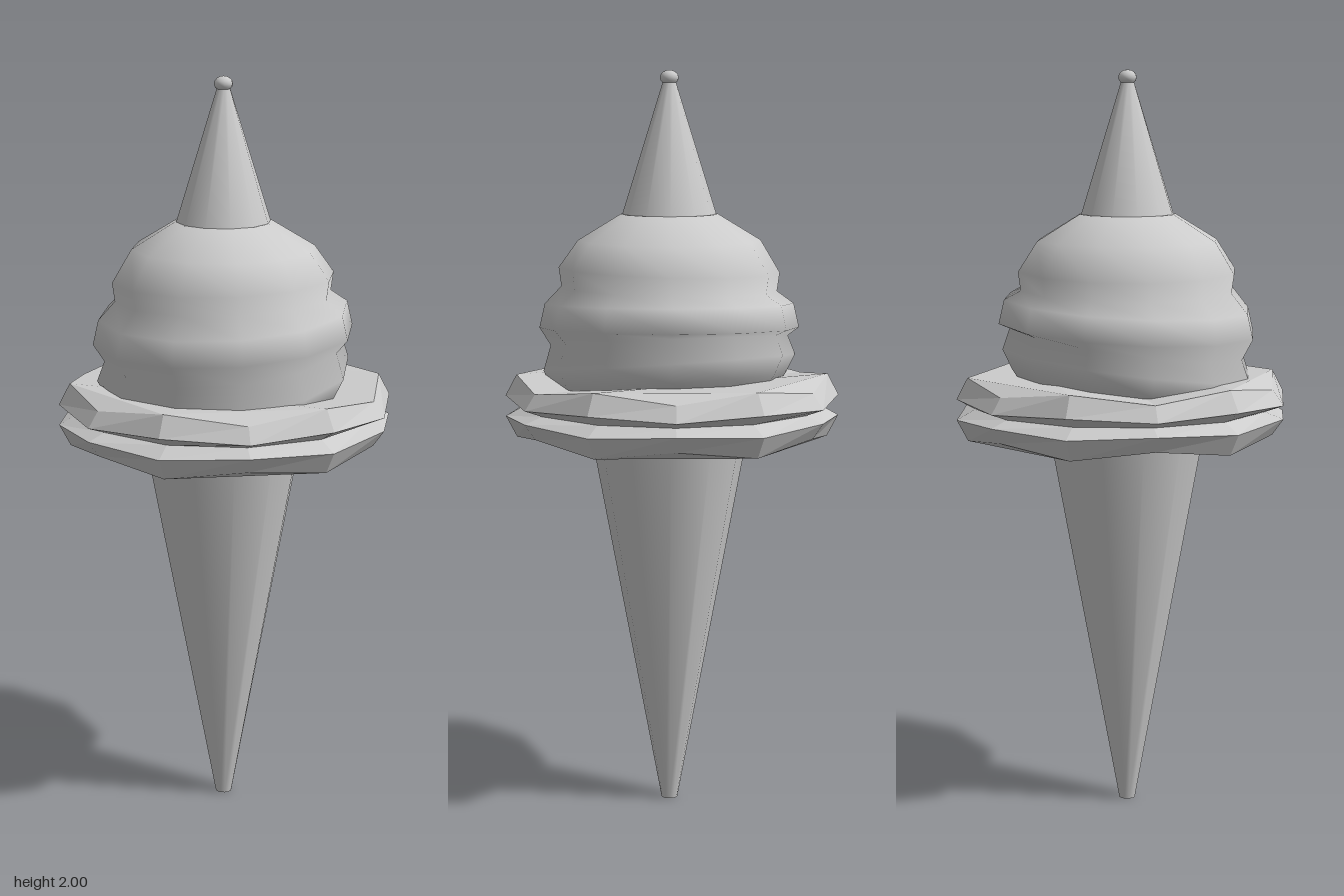
import * as THREE from 'three';

const SIDES = 12;
const OFFSET = 0.015; // cone and scoop sit slightly forward of the brim

function material(flatShading = false) {
  return new THREE.MeshStandardMaterial({ color: 0xcccccc, flatShading });
}

function addPart(group, name, geometry, y = 0, z = OFFSET, flat = false) {
  const mesh = new THREE.Mesh(geometry, material(flat));
  mesh.name = name;
  mesh.position.set(0, y, z);
  group.add(mesh);
  return mesh;
}

// Wavy twelve-sided brim: rings of alternating height with a notch round the edge
function brimGeometry() {
  const mid = 1.105;
  // radius, height above the middle at even corners, and at odd corners
  const rings = [
    [0.42, -0.085, -0.06],
    [0.45, -0.028, -0.018],
    [0.4, 0, 0],
    [0.45, 0.028, 0.018],
    [0.42, 0.085, 0.06],
  ];
  const positions = [];
  const index = [];
  for (const [r, even, odd] of rings) {
    for (let k = 0; k < SIDES; k++) {
      const a = (k / SIDES) * Math.PI * 2;
      positions.push(r * Math.sin(a), mid + (k % 2 ? odd : even), r * Math.cos(a));
    }
  }
  for (let j = 0; j < rings.length - 1; j++) {
    for (let k = 0; k < SIDES; k++) {
      const a = j * SIDES + k;
      const b = j * SIDES + ((k + 1) % SIDES);
      index.push(a, b, b + SIDES, a, b + SIDES, a + SIDES);
    }
  }
  // Folded caps, the same on top and underneath
  const cap = [
    [0, 1, 2], [0, 2, 10], [0, 10, 11], [2, 3, 9], [2, 9, 10],
    [3, 4, 8], [3, 8, 9], [4, 5, 6], [4, 6, 8], [6, 7, 8],
  ];
  const top = (rings.length - 1) * SIDES;
  for (const [a, b, c] of cap) {
    index.push(top + a, top + b, top + c, a, c, b);
  }
  const geometry = new THREE.BufferGeometry();
  geometry.setAttribute('position', new THREE.Float32BufferAttribute(positions, 3));
  geometry.setIndex(index);
  geometry.computeVertexNormals();
  return geometry;
}

// Swirled scoop: a tiered lathe whose lower tiers tip down toward the front
function scoopGeometry() {
  const profile = [
    [0, 1.1], [0.28, 1.12], [0.315, 1.17], [0.34, 1.22], [0.32, 1.28],
    [0.35, 1.315], [0.335, 1.38], [0.29, 1.42], [0.297, 1.47],
    [0.245, 1.55], [0.13, 1.62], [0, 1.625],
  ].map(([r, y]) => new THREE.Vector2(r, y));
  const geometry = new THREE.LatheGeometry(profile, SIDES);
  const p = geometry.attributes.position;
  for (let i = 0; i < p.count; i++) {
    const y = p.getY(i);
    const tilt = y < 1.3 ? 0.13 : y < 1.4 ? 0.05 : 0;
    const lean = y > 1.25 && y < 1.5 ? 0.03 : 0;
    p.setY(i, y - tilt * p.getZ(i) + lean * p.getX(i));
  }
  const seam = geometry.attributes.normal;
  geometry.computeVertexNormals();
  // Blend normals across the lathe seam
  const n = geometry.attributes.normal || seam;
  const rows = profile.length;
  const a = new THREE.Vector3();
  const b = new THREE.Vector3();
  for (let j = 0; j < rows; j++) {
    const last = SIDES * rows + j;
    a.fromBufferAttribute(n, j).add(b.fromBufferAttribute(n, last)).normalize();
    n.setXYZ(j, a.x, a.y, a.z);
    n.setXYZ(last, a.x, a.y, a.z);
  }
  return geometry;
}

export function createModel() {
  const group = new THREE.Group();
  group.name = 'iceCream';

  // Long tapering cone below the brim
  addPart(group, 'cone', new THREE.CylinderGeometry(0.212, 0.022, 1.02, SIDES), 0.51);

  addPart(group, 'brim', brimGeometry(), 0, 0, true);
  addPart(group, 'scoop', scoopGeometry());

  // Pointed top with a small bead
  addPart(group, 'tipCone', new THREE.CylinderGeometry(0.017, 0.132, 0.37, SIDES), 1.785);
  addPart(group, 'tipBead', new THREE.SphereGeometry(0.025, 12, 8), 1.98).scale.y = 0.8;

  return group;
}
